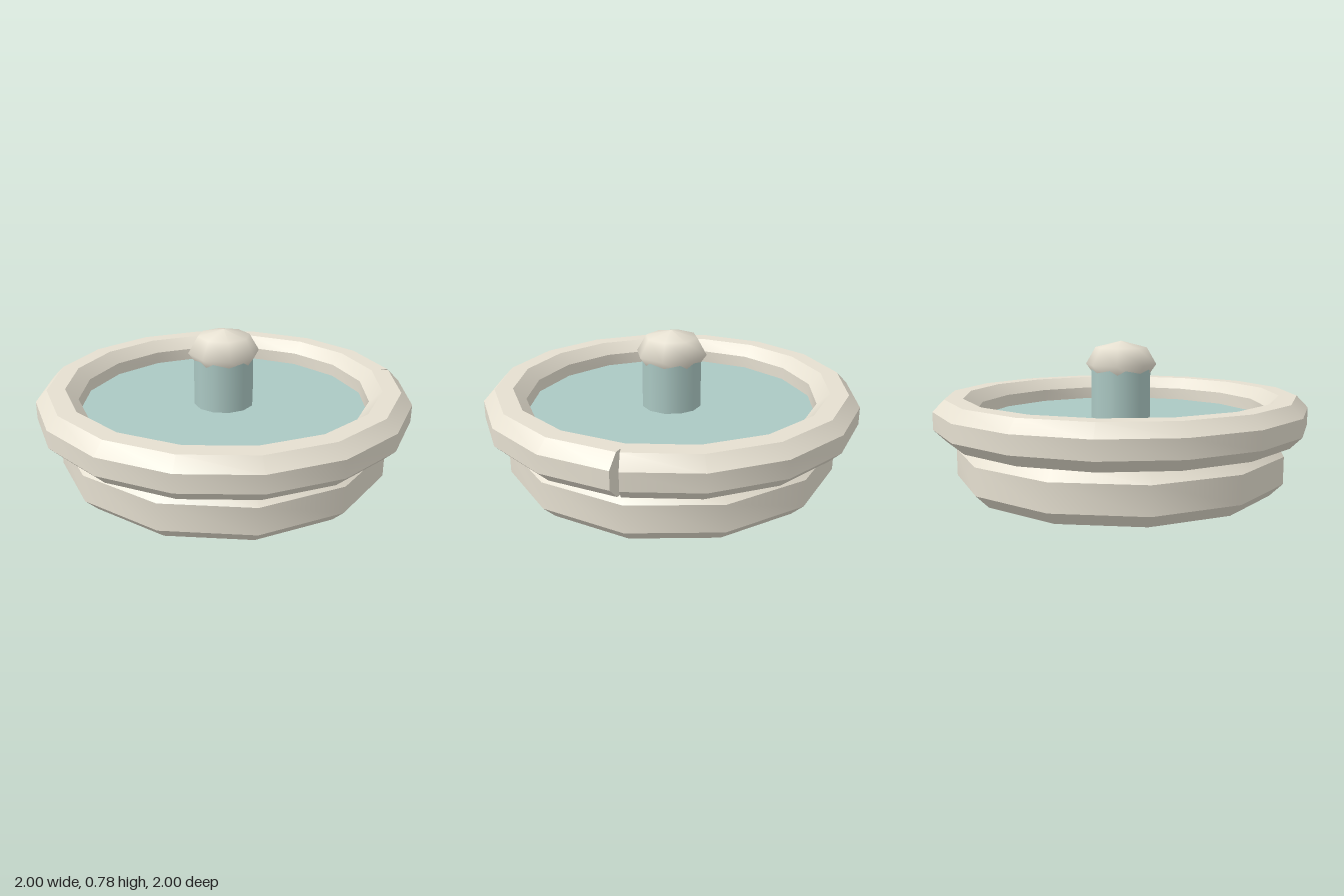
import * as THREE from 'three';
import { toCreasedNormals } from 'three/addons/utils/BufferGeometryUtils.js';

const CREASE = 0.6; // keeps bevel edges sharp, rounds the sides

const points = (list) => list.map(([x, y]) => new THREE.Vector2(x, y));

export function createModel() {
  const model = new THREE.Group();
  const stone = new THREE.MeshStandardMaterial({ color: 0xe5dfd0 });
  stone.name = 'pale stone';
  const water = new THREE.MeshStandardMaterial({ color: 0xabc8c3 });
  water.name = 'water';

  const add = (name, geometry, material, y = 0) => {
    const mesh = new THREE.Mesh(geometry, material);
    mesh.name = name;
    mesh.position.y = y;
    model.add(mesh);
  };
  const lathe = (list, sides, start = 0) =>
    new THREE.LatheGeometry(points(list), sides, start, Math.PI * 2);

  // Bevelled twelve-sided base
  const base = lathe([[0, 0], [0.82, 0], [0.888, 0.068], [0.888, 0.21], [0.82, 0.278], [0, 0.278]], 12);
  add('base', toCreasedNormals(base, CREASE), stone);

  // Bevelled rim, with its seam opened into a wedge-shaped notch on +x
  const notchStart = 0.9;
  const spread = (r) => Math.max(0, r - notchStart) * 0.21;
  const outer = [[notchStart, 0.28], [0.94, 0.28], [1, 0.34], [1, 0.433], [0.94, 0.495], [notchStart, 0.495]];
  const profile = [...outer, [0.845, 0.495], [0.78, 0.433], [0.78, 0.34], [0.845, 0.28], outer[0]];
  const rimSides = 16;
  const rim = lathe(profile, rimSides, Math.PI / 2);
  const pos = rim.attributes.position;
  profile.forEach(([r], j) => {
    pos.setZ(j, -spread(r));
    pos.setZ(rimSides * profile.length + j, spread(r));
  });
  add('rim', toCreasedNormals(rim, CREASE), stone);

  // Walls of the notch
  for (const side of [-1, 1]) {
    const wall = new THREE.ShapeGeometry(new THREE.Shape(points(outer)));
    const p = wall.attributes.position;
    for (let i = 0; i < p.count; i++) p.setZ(i, side * spread(p.getX(i)));
    if (side > 0) wall.index.array.reverse();
    wall.computeVertexNormals();
    add(side < 0 ? 'notchWallBack' : 'notchWallFront', wall, stone);
  }

  // Pool of water and the column rising from it
  const pool = new THREE.CylinderGeometry(0.779, 0.779, 0.164, rimSides);
  add('pool', pool, water, 0.282);
  const column = new THREE.CylinderGeometry(0.162, 0.162, 0.29, 12);
  add('column', column, water, 0.495);

  // Eight-sided cap, smooth all over
  const cap = lathe([[0, 0.56], [0.135, 0.575], [0.192, 0.655], [0.14, 0.745], [0, 0.78]], 8);
  add('cap', cap, stone);

  return model;
}
